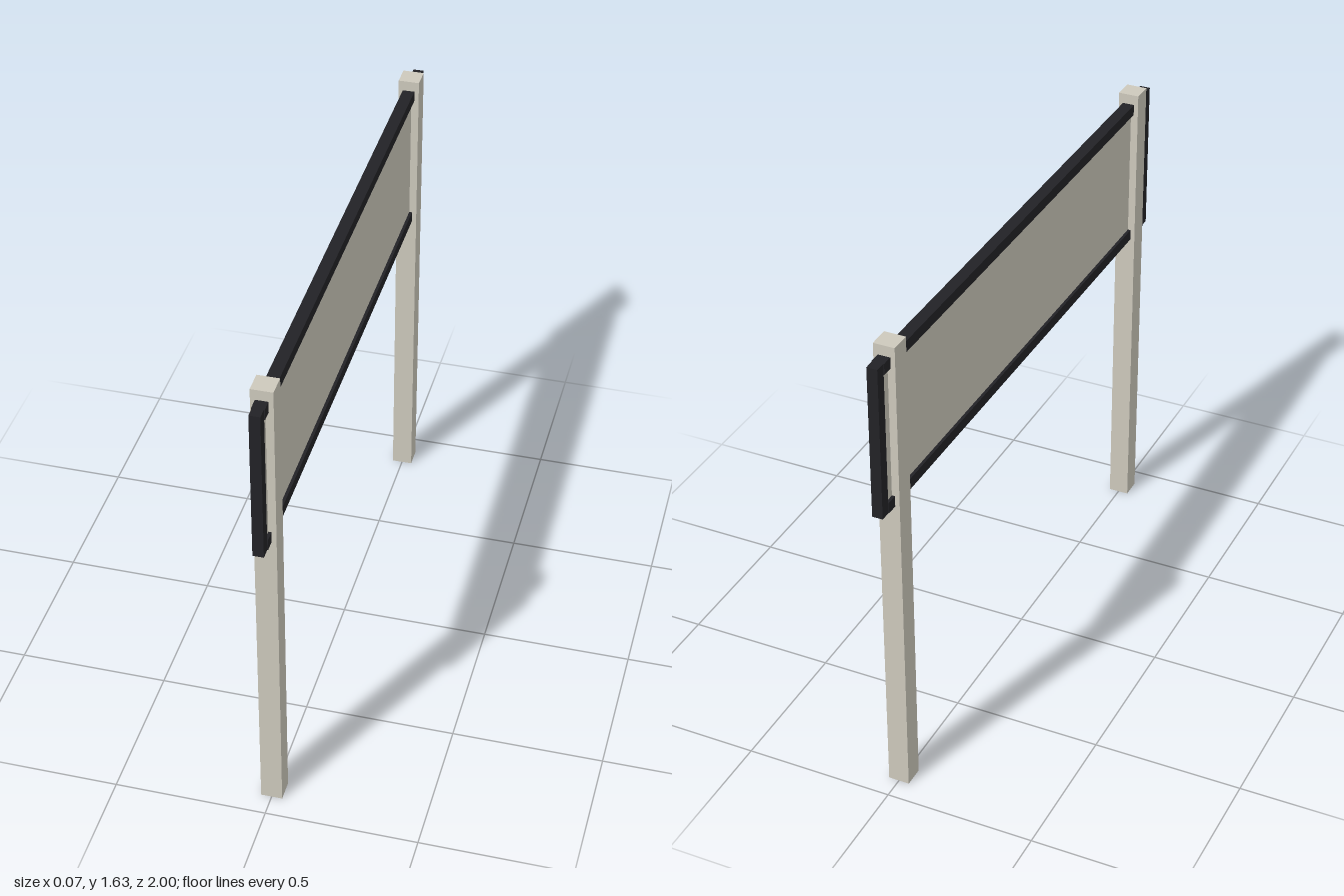
import * as THREE from 'three';

export function createModel() {
  const group = new THREE.Group();
  const beige = new THREE.MeshStandardMaterial({ color: 0xcdc9bc });
  const black = new THREE.MeshStandardMaterial({ color: 0x222226 });

  function box(name, material, size, y, z) {
    const mesh = new THREE.Mesh(new THREE.BoxGeometry(...size), material);
    mesh.name = name;
    mesh.position.set(0, y, z);
    group.add(mesh);
  }

  const bottom = 1.077, top = 1.595, bar = 0.037;
  const height = top - bottom, middle = (top + bottom) / 2;

  // Sign board, recessed inside its frame
  box('signPanel', beige, [0.02, height - bar, 2 - bar], middle, 0);

  // Long frame rails
  box('topRail', black, [0.04, bar, 2 - 2 * bar], top - bar / 2, 0);
  box('bottomRail', black, [0.04, bar, 2 - 2 * bar], bottom + bar / 2, 0);

  // Mirrored frame ends and square posts
  for (const [end, s] of [['front', 1], ['back', -1]]) {
    box(end + 'FrameEnd', black, [0.035, height, bar], middle, s * (1 - bar / 2));
    box(end + 'Post', beige, [0.07, 1.63, 0.07], 0.815, s * 0.89);
  }
  return group;
}
